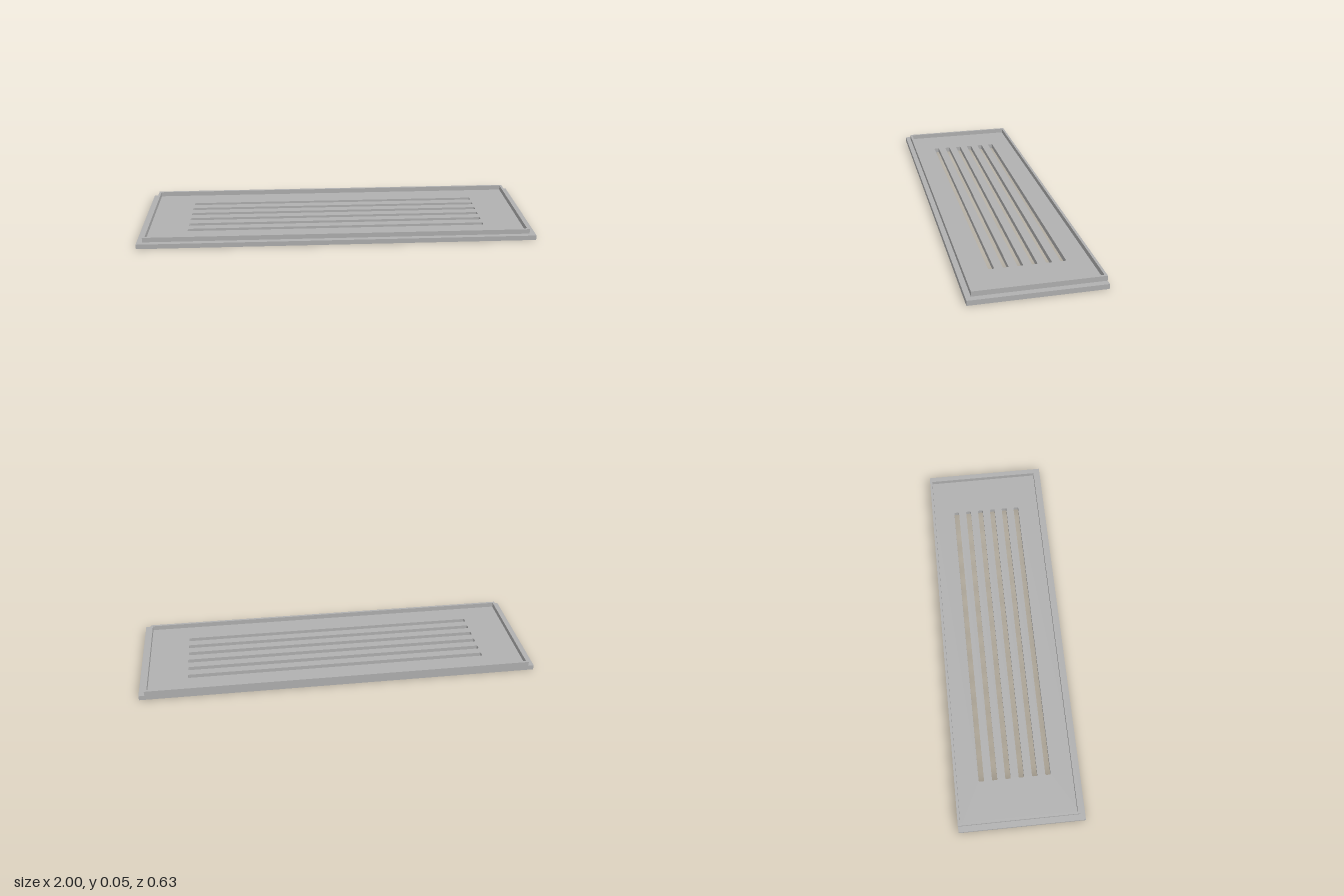
import * as THREE from 'three';

// Traces a rectangle centred on (0, -z) with corner radius r
function rect(path, w, d, z, r = 0) {
  const x = w / 2, a = -z - d / 2, b = -z + d / 2;
  path.moveTo(-x + r, a);
  path.lineTo(x - r, a);
  if (r) path.quadraticCurveTo(x, a, x, a + r);
  path.lineTo(x, b - r);
  if (r) path.quadraticCurveTo(x, b, x - r, b);
  path.lineTo(-x + r, b);
  if (r) path.quadraticCurveTo(-x, b, -x, b - r);
  path.lineTo(-x, a + r);
  if (r) path.quadraticCurveTo(-x, a, -x + r, a);
  return path;
}

// Extrudes a plan outline upward from height y
function slab(name, shape, y, height, material) {
  const geo = new THREE.ExtrudeGeometry(shape, { depth: height, bevelEnabled: false, curveSegments: 4 });
  geo.rotateX(-Math.PI / 2);
  geo.translate(0, y, 0);
  const mesh = new THREE.Mesh(geo, material);
  mesh.name = name;
  return mesh;
}

export function createModel() {
  const group = new THREE.Group();
  group.name = 'ventCover';
  const grey = new THREE.MeshStandardMaterial({ color: 0xb0b0b0 });
  grey.name = 'grey';

  const thickness = 0.0245;
  const rimZ = -0.0125; // the rim sits flush with the back edge

  // Base plate with six long vent slots
  const plate = rect(new THREE.Shape(), 2, 0.63, 0);
  for (let i = 0; i < 6; i++) {
    const z = rimZ + (i - 2.5) * 0.0672;
    plate.holes.push(rect(new THREE.Path(), 1.524, 0.027, z, 0.006));
  }
  group.add(slab('slottedPlate', plate, 0, thickness, grey));

  // Thin raised rim around the plate
  const rim = rect(new THREE.Shape(), 1.942, 0.605, rimZ);
  rim.holes.push(rect(new THREE.Path(), 1.918, 0.581, rimZ));
  group.add(slab('raisedRim', rim, thickness, 0.0245, grey));

  return group;
}
